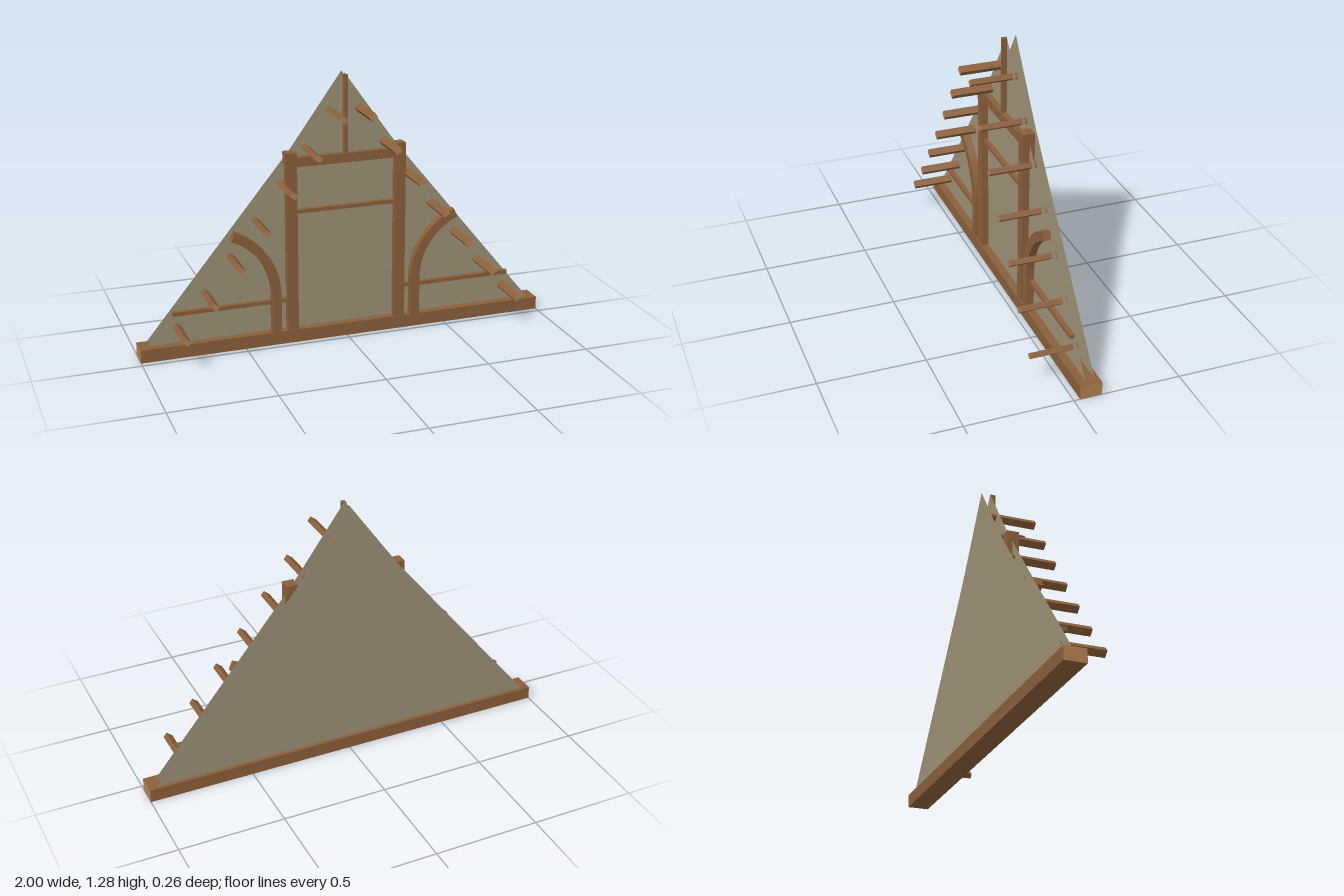
import * as THREE from 'three';

export function createModel() {
  const model = new THREE.Group();
  model.name = 'gableFrame';

  const material = (name, color) => {
    const m = new THREE.MeshStandardMaterial({ color });
    m.name = name;
    return m;
  };
  const wood = material('wood', 0x8a5f3a);
  const endGrain = material('endGrain', 0xb27f52);
  const plaster = material('plaster', 0x9c9076);
  plaster.side = THREE.DoubleSide;

  const add = (name, geometry, mat) => {
    const mesh = new THREE.Mesh(geometry, mat);
    mesh.name = name;
    model.add(mesh);
    return mesh;
  };

  // Box from its extents along each axis
  const beam = (name, [x0, x1], [y0, y1], [z0, z1], mat = wood) => {
    const mesh = add(name, new THREE.BoxGeometry(x1 - x0, y1 - y0, z1 - z0), mat);
    mesh.position.set((x0 + x1) / 2, (y0 + y1) / 2, (z0 + z1) / 2);
    return mesh;
  };
  const span = (s, a, b) => (s > 0 ? [a, b] : [-b, -a]);

  const thinZ = [-0.066, -0.043];

  // Sill beam with end grain on both ends
  beam('sillBeam', [-1, 1], [0, 0.063], [-0.131, -0.029],
    [endGrain, endGrain, wood, wood, wood, wood]);

  // Centre frame: collar, rail and king post
  beam('collarBeam', [-0.24, 0.24], [0.86, 0.905], [-0.091, -0.04]);
  beam('middleRail', [-0.24, 0.24], [0.635, 0.653], thinZ);
  beam('kingPost', [-0.009, 0.009], [0.905, 1.272], thinZ);

  // Front and back infill sheets with a kinked roof line
  const outline = new THREE.Shape([
    [-0.96, 0.063], [0.96, 0.063], [0.25, 0.93], [0, 1.278], [-0.25, 0.93],
  ].map(([x, y]) => new THREE.Vector2(x, y)));
  for (const [name, z] of [['frontInfill', -0.067], ['backInfill', -0.111]]) {
    add(name, new THREE.ShapeGeometry(outline), plaster).position.z = z;
  }

  // Purlin stub centres, from the ridge down to the eaves
  const stubs = [[0.07, 1.11], [0.19, 0.942], [0.308, 0.78], [0.432, 0.615],
    [0.556, 0.455], [0.682, 0.295], [0.818, 0.143]];

  for (const s of [1, -1]) {
    beam('post', span(s, 0.24, 0.293), [0.063, 0.929], [-0.091, -0.034]);
    beam('sideRail', span(s, 0.293, 0.84), [0.203, 0.222], thinZ);

    // Curved brace: upright leg bending outward
    const inner = [], outer = [];
    const sweep = THREE.MathUtils.degToRad(67);
    for (let i = 0; i <= 16; i++) {
      const a = (sweep * i) / 16;
      for (const [list, r] of [[outer, 0.357], [inner, 0.313]]) {
        list.push(new THREE.Vector2(s * (0.682 - r * Math.cos(a)), 0.25 + r * Math.sin(a)));
      }
    }
    const brace = new THREE.Shape([
      new THREE.Vector2(s * 0.325, 0.063), ...outer,
      ...inner.reverse(), new THREE.Vector2(s * 0.369, 0.063),
    ]);
    add('curvedBrace', new THREE.ExtrudeGeometry(brace, { depth: 0.037, bevelEnabled: false }), wood)
      .position.z = -0.066;

    // Purlin stubs tilted to the roof slope
    stubs.forEach(([x, y], i) => {
      const stub = beam('purlinStub', [-0.0175, 0.0175], [-0.0125, 0.0125], [-0.09, 0.132],
        [wood, wood, wood, wood, endGrain, endGrain]);
      stub.position.x = s * x;
      stub.position.y = y;
      stub.rotation.z = s * (Math.PI / 2 - Math.atan(i < 2 ? 1.4 : 1.22));
    });
  }

  return model;
}
